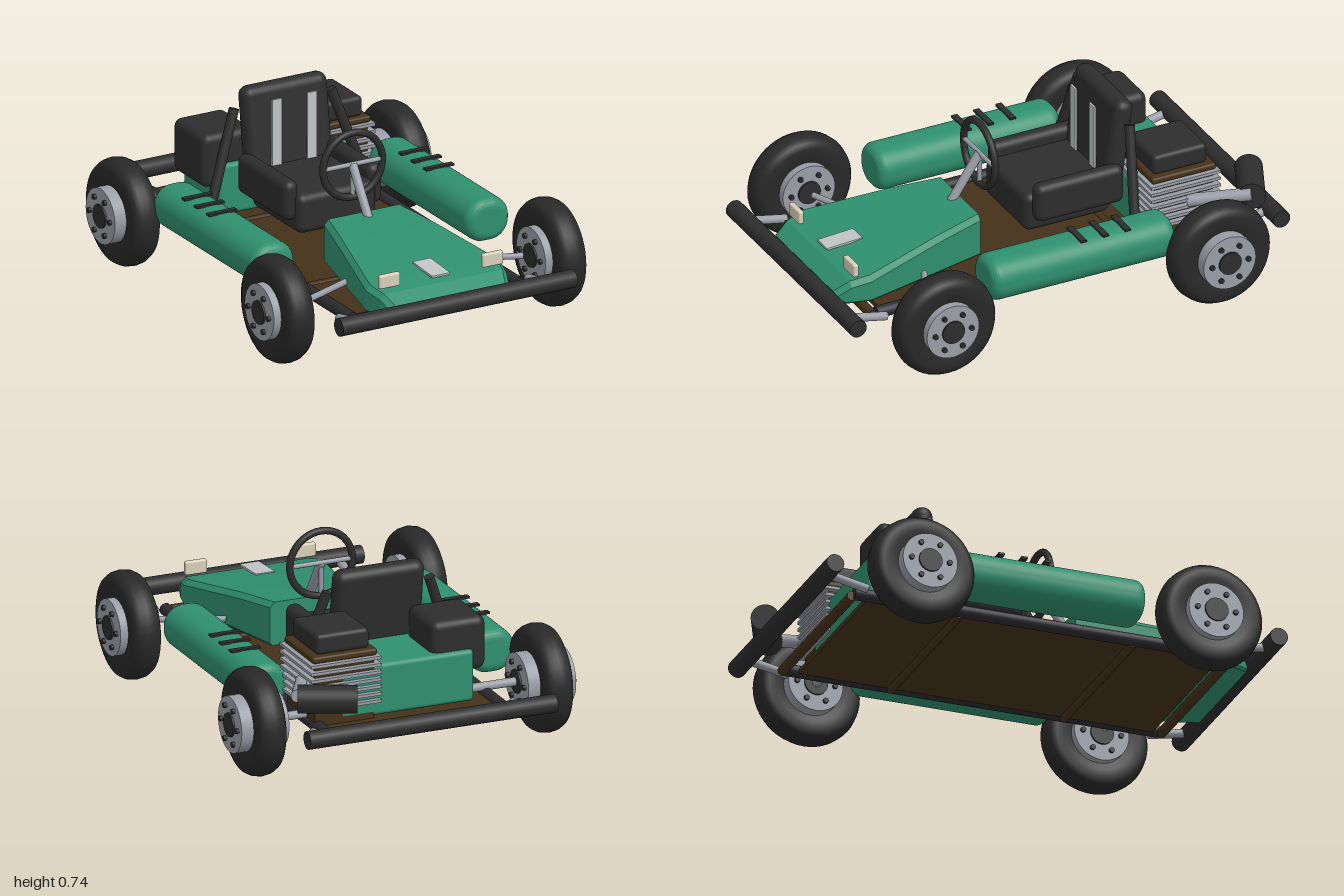
import * as THREE from 'three';
import { RoundedBoxGeometry } from 'three/addons/geometries/RoundedBoxGeometry.js';

const mat = (name, color, extra = {}) => {
  const m = new THREE.MeshStandardMaterial({ color, ...extra });
  m.name = name;
  return m;
};

export function createModel() {
  const kart = new THREE.Group();
  kart.name = 'goKart';
  const green = mat('greenBody', 0x2f8f6f);
  const greenFlat = green.clone();
  greenFlat.flatShading = true;
  const black = mat('blackPlastic', 0x2d2d2d);
  const rubber = mat('tireRubber', 0x282828);
  const frameGrey = mat('frameGrey', 0x2c2c30);
  const brown = mat('brownMetal', 0x453119);
  const silver = mat('silver', 0x9a9da6);
  const cream = mat('lampCream', 0xd8d0b8);
  const pale = mat('paleTrim', 0xc0c4c4);

  const add = (name, geo, material, pos = [0, 0, 0], parent = kart) => {
    const m = new THREE.Mesh(geo, material);
    m.name = name;
    m.position.set(...pos);
    parent.add(m);
    return m;
  };
  const box = (name, size, pos, material) => add(name, new THREE.BoxGeometry(...size), material, pos);
  const rbox = (name, size, r, pos, material) => add(name, new RoundedBoxGeometry(...size, 4, r), material, pos);
  // Round bar between two points
  const rod = (name, a, b, r, material, parent = kart, seg = 20) => {
    const p = new THREE.Vector3(...a), q = new THREE.Vector3(...b);
    const m = add(name, new THREE.CylinderGeometry(r, r, p.distanceTo(q), seg), material, [0, 0, 0], parent);
    m.position.copy(p).add(q).multiplyScalar(0.5);
    m.quaternion.setFromUnitVectors(new THREE.Vector3(0, 1, 0), q.sub(p).normalize());
    return m;
  };

  // Wheels: rounded tire, rim, hub and six bolts on each face
  const tireProfile = [[0.11, -0.05], [0.15, -0.06], [0.185, -0.062], [0.207, -0.052], [0.22, -0.03], [0.225, 0],
    [0.22, 0.03], [0.207, 0.052], [0.185, 0.062], [0.15, 0.06], [0.11, 0.05]].map(p => new THREE.Vector2(...p));
  const tireGeo = new THREE.LatheGeometry(tireProfile, 48);
  const addWheel = (name, side, z, halfRim) => {
    const wheel = new THREE.Group();
    wheel.name = name;
    wheel.position.set(side * 0.632, 0.23, z);
    kart.add(wheel);
    add('tire', tireGeo, rubber, [0, 0, 0], wheel).rotation.z = -Math.PI / 2;
    rod('rim', [-halfRim, 0, 0], [halfRim, 0, 0], 0.118, silver, wheel, 40);
    rod('hub', [-halfRim - 0.008, 0, 0], [halfRim + 0.008, 0, 0], 0.05, black, wheel, 24);
    for (let i = 0; i < 6; i++) {
      const a = i * Math.PI / 3, y = 0.082 * Math.sin(a), zz = 0.082 * Math.cos(a);
      rod('bolt', [-halfRim - 0.012, y, zz], [halfRim + 0.012, y, zz], 0.011, black, wheel, 10);
    }
  };

  // Rounded side pod, running along z
  const podShape = new THREE.Shape();
  const w = 0.06, h = 0.052, r = 0.045;
  podShape.absarc(w - r, h - r, r, 0, Math.PI / 2);
  podShape.absarc(r - w, h - r, r, Math.PI / 2, Math.PI);
  podShape.absarc(r - w, r - h, r, Math.PI, Math.PI * 1.5);
  podShape.absarc(w - r, r - h, r, Math.PI * 1.5, Math.PI * 2);
  const podGeo = new THREE.ExtrudeGeometry(podShape, {
    depth: 0.75, bevelThickness: 0.04, bevelSize: 0.04, bevelSegments: 6, curveSegments: 10 });

  for (const s of [-1, 1]) {
    addWheel('frontWheel', s, 0.62, 0.086);
    addWheel('rearWheel', s, -0.625, 0.105);
    rod('frameRail', [s * 0.388, 0.2, -0.82], [s * 0.388, 0.2, 0.8], 0.026, frameGrey);
    add('sidePod', podGeo, green, [s * 0.5, 0.302, -0.42]);
    for (const z of [-0.25, -0.15, -0.05]) box('podVent', [0.13, 0.009, 0.026], [s * 0.505, 0.396, z], black);
    rod('frontArm', [s * 0.25, 0.235, 0.51], [s * 0.51, 0.235, 0.62], 0.013, silver);
    for (const e of [-1, 1]) rod('bumperBracket', [s * 0.44, 0.205, e * 0.78], [s * 0.44, 0.24, e * 0.95], 0.018, silver);
    rod('seatStrut', [s * 0.36, 0.27, -0.39], [s * 0.225, 0.66, -0.435], 0.021, black);
    rbox('seatBolster', [0.07, 0.17, 0.4], 0.033, [s * 0.195, 0.39, -0.215], black);
    box('seatStripe', [0.045, 0.3, 0.009], [s * 0.082, 0.555, -0.34], pale);
    rbox('headlight', [0.096, 0.058, 0.024], 0.008, [s * 0.24, 0.348, 0.836], cream);
  }

  // Bumpers, floor and cross beams
  rod('frontBumper', [-0.545, 0.245, 0.96], [0.545, 0.245, 0.96], 0.038, black);
  rod('rearBumper', [-0.545, 0.245, -0.96], [0.545, 0.245, -0.96], 0.038, black);
  box('floorPan', [0.74, 0.02, 1.53], [0, 0.193, 0.005], brown);
  for (const z of [-0.825, -0.36, 0.39, 0.812]) rod('crossBeam', [-0.385, 0.19, z], [0.385, 0.19, z], 0.021, brown);
  rod('rearAxle', [-0.56, 0.23, -0.625], [0.56, 0.23, -0.625], 0.018, silver);

  // Nose: chamfered cross-sections [z, halfWidth, topY]
  const sections = [[0.22, 0.185, 0.39], [0.42, 0.232, 0.371], [0.78, 0.315, 0.32], [0.86, 0.295, 0.302], [0.93, 0.27, 0.257]];
  const pts = [], idx = [];
  for (const [z, hw, y] of sections)
    for (const [x, yy] of [[hw - 0.01, 0.205], [hw, 0.215], [hw, y - 0.022], [hw - 0.02, y],
      [0.02 - hw, y], [-hw, y - 0.022], [-hw, 0.215], [0.01 - hw, 0.205]]) pts.push(x, yy, z);
  const last = (sections.length - 1) * 8;
  for (let k = 0; k < last; k += 8)
    for (let i = 0; i < 8; i++) {
      const a = k + i, b = k + (i + 1) % 8;
      idx.push(a, b, b + 8, a, b + 8, a + 8);
    }
  for (let i = 1; i < 7; i++) idx.push(0, i + 1, i, last, last + i, last + i + 1);
  const noseGeo = new THREE.BufferGeometry();
  noseGeo.setAttribute('position', new THREE.Float32BufferAttribute(pts, 3));
  noseGeo.setIndex(idx);
  // Rings run counter-clockwise seen from +z, so flip the side quads outward
  const flipped = noseGeo.index.array;
  for (let t = 0; t < last * 6; t += 3) [flipped[t + 1], flipped[t + 2]] = [flipped[t + 2], flipped[t + 1]];
  const sideTest = () => {
    const [a, b, c] = [0, 1, 2].map(i => new THREE.Vector3().fromArray(pts, flipped[6 + i] * 3));
    return b.sub(a).cross(c.sub(a)).x > 0;
  };
  if (!sideTest()) for (let t = 0; t < last * 6; t += 3) [flipped[t + 1], flipped[t + 2]] = [flipped[t + 2], flipped[t + 1]];
  noseGeo.computeVertexNormals();
  add('noseCone', noseGeo, greenFlat);
  box('nosePlate', [0.084, 0.009, 0.16], [0, 0.329, 0.762], pale).rotation.x = 0.06;

  // Steering wheel and column
  add('steeringWheel', new THREE.TorusGeometry(0.138, 0.015, 14, 48), black, [0, 0.563, 0.13]);
  rod('steeringSpoke', [-0.13, 0.565, 0.13], [0.13, 0.565, 0.13], 0.01, silver);
  rod('steeringSpoke', [0, 0.565, 0.13], [0, 0.43, 0.13], 0.01, silver);
  rod('steeringColumn', [0, 0.565, 0.13], [0, 0.355, 0.27], 0.019, silver);

  // Seat
  rbox('seatCushion', [0.37, 0.17, 0.39], 0.035, [0, 0.335, -0.18], black);
  rbox('seatBack', [0.395, 0.41, 0.085], 0.04, [0, 0.542, -0.41], black).rotation.x = -0.15;

  // Rear cowl, fuel tank and finned engine
  rbox('rearCowl', [0.6, 0.22, 0.3], 0.02, [0, 0.32, -0.57], green);
  rbox('fuelTank', [0.24, 0.23, 0.26], 0.035, [-0.243, 0.445, -0.57], black);
  box('engineBlock', [0.26, 0.28, 0.27], [0.275, 0.34, -0.585], brown);
  for (let i = 0; i < 7; i++) box('coolingFin', [0.31, 0.013, 0.315], [0.275, 0.28 + i * 0.031, -0.585], silver);
  rbox('cylinderHead', [0.285, 0.028, 0.29], 0.01, [0.275, 0.488, -0.585], brown);
  rbox('airBox', [0.235, 0.088, 0.245], 0.02, [0.273, 0.542, -0.582], black);

  // Exhaust
  rod('exhaustPipe', [0.41, 0.36, -0.6], [0.53, 0.39, -0.83], 0.027, silver);
  rod('muffler', [0.31, 0.378, -0.93], [0.53, 0.378, -0.83], 0.058, black, kart, 28);

  return kart;
}
